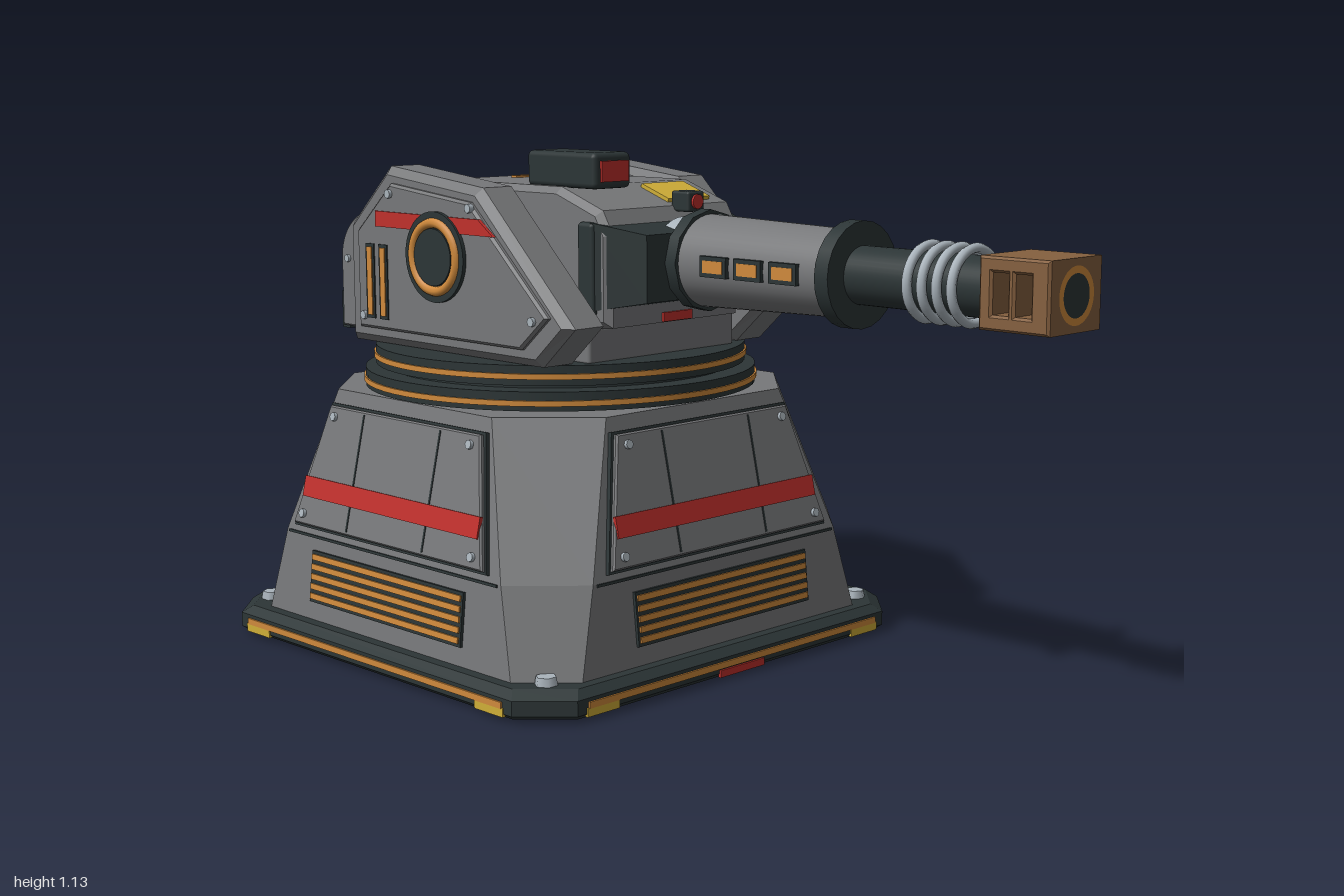
import * as THREE from 'three';
import { RoundedBoxGeometry } from 'three/addons/geometries/RoundedBoxGeometry.js';

const paint = (name, color) => Object.assign(new THREE.MeshStandardMaterial({ color }), { name });
const PI = Math.PI;

export function createModel() {
  const grey = paint('armour grey', 0x77787a), dark = paint('dark metal', 0x2c3536);
  const orange = paint('orange trim', 0xd08a3c), red = paint('red paint', 0xc0302c);
  const yellow = paint('yellow paint', 0xd0ae38), steel = paint('bright steel', 0xaab4bc);
  const copper = paint('copper', 0x85603f);

  const model = new THREE.Group();
  model.name = 'turret';
  const group = (name, parent = model) => {
    const g = new THREE.Group();
    g.name = name;
    parent.add(g);
    return g;
  };
  const add = (parent, name, geo, mat, x = 0, y = 0, z = 0) => {
    const m = new THREE.Mesh(geo, mat);
    m.name = name;
    m.position.set(x, y, z);
    parent.add(m);
    return m;
  };
  const box = (p, name, mat, w, h, d, x, y, z, r = 0) =>
    add(p, name, r ? new RoundedBoxGeometry(w, h, d, 2, r) : new THREE.BoxGeometry(w, h, d), mat, x, y, z);
  // Cylinder along a chosen axis
  const cyl = (p, name, mat, axis, r1, r2, len, x, y, z, n = 40) => {
    const g = new THREE.CylinderGeometry(r1, r2, len, n);
    if (axis === 'x') g.rotateZ(-PI / 2);
    if (axis === 'z') g.rotateX(PI / 2);
    return add(p, name, g, mat, x, y, z);
  };
  const ring = (p, name, mat, axis, r, tube, x, y, z) => {
    const g = new THREE.TorusGeometry(r, tube, 8, 48);
    if (axis === 'x') g.rotateY(PI / 2);
    if (axis === 'y') g.rotateX(PI / 2);
    return add(p, name, g, mat, x, y, z);
  };
  const outline = pts => new THREE.Shape(pts.map(p => new THREE.Vector2(...p)));
  const slab = (shape, depth, bevel = 0) => new THREE.ExtrudeGeometry(shape, {
    depth: depth - 2 * bevel, bevelEnabled: bevel > 0, bevelSize: bevel, bevelOffset: -bevel,
    bevelThickness: bevel, bevelSegments: 1, curveSegments: 20,
  }).translate(0, 0, bevel);
  // Side profile given as (z, y), extruded across x and centred
  const across = (shape, width, bevel = 0) => slab(shape, width, bevel).translate(0, 0, -width / 2).rotateY(-PI / 2);
  const octagon = (h, f) => [[-f, -h], [f, -h], [h, -f], [h, f], [f, h], [-f, h], [-h, f], [-h, -f]];

  // Stacked eight-sided sections [y, half width, half flat], closed top and bottom
  const loft = sections => {
    const v = [], rings = sections.map(([y, h, f]) => octagon(h, f).map(([x, z]) => [x, y, z]));
    const tri = (a, b, c) => v.push(...a, ...b, ...c);
    for (let s = 0; s < rings.length - 1; s++) for (let i = 0; i < 8; i++) {
      const j = (i + 1) % 8, a = rings[s], b = rings[s + 1];
      tri(a[i], b[i], b[j]);
      tri(a[i], b[j], a[j]);
    }
    const lo = rings[0], hi = rings[rings.length - 1];
    for (let i = 1; i < 7; i++) {
      tri(lo[0], lo[i], lo[i + 1]);
      tri(hi[0], hi[i + 1], hi[i]);
    }
    const g = new THREE.BufferGeometry();
    g.setAttribute('position', new THREE.Float32BufferAttribute(v, 3));
    g.computeVertexNormals();
    return g;
  };

  // Pedestal
  const base = group('pedestal');
  base.position.z = -0.42;
  add(base, 'footPlate', loft([[0, 0.565, 0.47], [0.012, 0.58, 0.485], [0.045, 0.58, 0.485], [0.062, 0.56, 0.465]]), dark);
  add(base, 'tower', loft([[0.06, 0.535, 0.43], [0.255, 0.515, 0.38], [0.585, 0.44, 0.27]]), grey);
  cyl(base, 'undersideRing', copper, 'y', 0.15, 0.15, 0.006, 0, 0.001, 0);
  cyl(base, 'undersideDisc', dark, 'y', 0.115, 0.115, 0.008, 0, 0.001, 0);
  cyl(base, 'undersideHub', steel, 'y', 0.055, 0.055, 0.01, 0, 0.001, 0);

  const panel = (g, x) => outline([[-0.335 - x, 0.02 - x], [0.335 + x, 0.02 - x], [0.265 + x, 0.3 + x], [-0.265 - x, 0.3 + x]]);
  for (let k = 0; k < 4; k++) {
    const side = group('pedestalSide', base);
    side.rotation.y = k * PI / 2;
    // Foot trim
    box(side, 'footTrim', orange, 0.91, 0.014, 0.008, 0, 0.03, 0.58);
    for (const s of [-1, 1]) box(side, 'footMarker', yellow, 0.09, 0.019, 0.008, s * 0.415, 0.015, 0.579);
    if (k === 0) box(side, 'frontMarker', red, 0.14, 0.016, 0.008, 0, 0.012, 0.581);
    cyl(side, 'cornerBolt', steel, 'y', 0.022, 0.026, 0.02, 0.49, 0.07, 0.49, 6);
    cyl(side, 'undersideBolt', dark, 'y', 0.02, 0.02, 0.012, 0.3, 0.002, 0.3, 6);
    // Lower face with louvred vent
    const lower = group('lowerFace', side);
    lower.position.set(0, 0.06, 0.535);
    lower.rotation.x = -0.102;
    box(lower, 'ventBack', dark, 0.54, 0.118, 0.01, 0, 0.103, 0.002);
    for (let i = 0; i < 5; i++) box(lower, 'ventBar', orange, 0.53, 0.013, 0.012, 0, 0.058 + i * 0.0225, 0.005);
    box(lower, 'faceSeam', dark, 0.74, 0.006, 0.006, 0, 0.193, 0.001);
    // Upper face with raised panel
    const upper = group('upperFace', side);
    upper.position.set(0, 0.255, 0.515);
    upper.rotation.x = -0.2235;
    add(upper, 'panelEdge', slab(panel(upper, 0.006), 0.01), dark);
    add(upper, 'armourPanel', slab(panel(upper, 0), 0.02, 0.004), grey);
    box(upper, 'panelStripe', red, 0.62, 0.047, 0.008, 0, 0.108, 0.02);
    for (const s of [-1, 1]) {
      box(upper, 'panelSeam', dark, 0.005, 0.265, 0.006, s * 0.135, 0.16, 0.0185);
      cyl(upper, 'panelBolt', steel, 'z', 0.01, 0.01, 0.014, s * 0.3, 0.045, 0.021, 8);
      cyl(upper, 'panelBolt', steel, 'z', 0.01, 0.01, 0.014, s * 0.24, 0.275, 0.021, 8);
    }
  }

  // Rotating bearing rings
  cyl(base, 'bearingSkirt', dark, 'y', 0.44, 0.4, 0.02, 0, 0.582, 0, 64);
  cyl(base, 'lowerBearing', dark, 'y', 0.452, 0.452, 0.042, 0, 0.61, 0, 64);
  cyl(base, 'lowerBearingTrim', orange, 'y', 0.456, 0.456, 0.012, 0, 0.606, 0, 64);
  cyl(base, 'bearingNeck', dark, 'y', 0.4, 0.4, 0.03, 0, 0.635, 0, 64);
  cyl(base, 'upperBearing', dark, 'y', 0.428, 0.428, 0.044, 0, 0.662, 0, 64);
  cyl(base, 'upperBearingTrim', orange, 'y', 0.432, 0.432, 0.012, 0, 0.66, 0, 64);

  // Gun housing
  const head = group('head');
  box(head, 'housingFoot', grey, 0.45, 0.08, 0.52, 0, 0.72, -0.34, 0.008);
  box(head, 'footMark', red, 0.09, 0.02, 0.008, 0, 0.772, -0.038);
  add(head, 'housing', across(outline([[-0.59, 0.7], [-0.04, 0.76], [-0.04, 0.96], [-0.07, 1.01], [-0.2, 1.055], [-0.59, 1.055]]), 0.41, 0.015), grey);
  const mantlet = new THREE.CylinderGeometry(Math.SQRT1_2 * 0.76, Math.SQRT1_2, 1, 4, 1).rotateY(PI / 4).rotateX(PI / 2).toNonIndexed();
  mantlet.scale(0.43, 0.19, 0.12).computeVertexNormals();
  add(head, 'mantlet', mantlet, dark, 0, 0.89, -0.025);
  box(head, 'mantletBack', dark, 0.436, 0.2, 0.05, 0, 0.885, -0.1, 0.01);
  for (let i = 0; i < 3; i++) box(head, 'roofVent', orange, 0.215, 0.008, 0.018, 0.06, 1.056, -0.525 + i * 0.07);
  const plate = box(head, 'roofPlate', yellow, 0.13, 0.009, 0.09, 0.087, 1.035, -0.13);
  plate.rotation.x = 0.333;
  box(head, 'scanner', dark, 0.11, 0.078, 0.22, -0.127, 1.091, -0.215, 0.012);
  box(head, 'scannerLens', red, 0.08, 0.045, 0.008, -0.125, 1.09, -0.104);
  box(head, 'sensor', dark, 0.05, 0.045, 0.055, 0.045, 1.02, -0.05, 0.006);
  cyl(head, 'sensorLens', red, 'z', 0.016, 0.016, 0.008, 0.045, 1.02, -0.021, 20);

  // Side armour, mirrored
  const cheek = [[0, 0.775], [-0.1, 0.685], [-0.755, 0.685], [-0.755, 0.955], [-0.61, 1.09], [-0.29, 1.055]];
  const inset = cheek.map(([z, y]) => [-0.4 + (z + 0.4) * 0.86, 0.885 + (y - 0.885) * 0.82]);
  for (const s of [-1, 1]) {
    const arm = group(s > 0 ? 'leftArmour' : 'rightArmour', head);
    add(arm, 'armourPlate', across(outline(cheek), 0.115, 0.018), grey, s * 0.296);
    add(arm, 'outerPlate', across(outline(inset), 0.02, 0.006), grey, s * 0.356);
    cyl(arm, 'trunnion', steel, 'x', 0.045, 0.045, 0.06, s * 0.225, 0.9, -0.3);
    add(arm, 'armourStripe', across(outline([[-0.22, 0.955], [-0.27, 0.99], [-0.63, 0.99], [-0.63, 0.955]]), 0.008), red, s * 0.366);
    cyl(arm, 'hub', dark, 'x', 0.1, 0.1, 0.03, s * 0.36, 0.9, -0.415);
    ring(arm, 'hubRing', orange, 'x', 0.075, 0.012, s * 0.372, 0.9, -0.415);
    cyl(arm, 'hubCap', dark, 'x', 0.063, 0.063, 0.036, s * 0.362, 0.9, -0.415);
    for (const z of [-0.607, -0.655]) {
      box(arm, 'slotFrame', dark, 0.008, 0.17, 0.03, s * 0.365, 0.83, z);
      box(arm, 'slot', orange, 0.009, 0.155, 0.018, s * 0.367, 0.83, z);
    }
    for (const [z, y] of [[-0.1, 0.785], [-0.3, 1.012], [-0.58, 1.03], [-0.68, 0.75]])
      cyl(arm, 'armourBolt', steel, 'x', 0.01, 0.01, 0.012, s * 0.368, y, z, 8);
  }

  // Barrel
  const gun = group('gun');
  const along = (name, mat, r1, r2, z1, z2, n) => cyl(gun, name, mat, 'z', r2, r1, z2 - z1, 0, 0.9, (z1 + z2) / 2, n);
  along('barrelSeat', steel, 0.09, 0.085, -0.02, 0.045);
  along('rearFlange', dark, 0.11, 0.11, 0.035, 0.065, 12);
  along('sleeve', grey, 0.1, 0.09, 0.065, 0.46);
  along('frontFlange', dark, 0.11, 0.11, 0.455, 0.49, 24);
  along('innerBarrel', dark, 0.06, 0.06, 0.48, 0.85);
  for (let i = 0; i < 4; i++) ring(gun, 'coolingRing', steel, 'z', 0.073, 0.01, 0, 0.9, 0.66 + i * 0.036);
  for (const s of [-1, 1]) for (let i = 0; i < 3; i++) {
    const z = 0.17 + i * 0.095, x = s * (0.098 - i * 0.0025);
    box(gun, 'sleeveSlotFrame', dark, 0.014, 0.044, 0.075, x, 0.9, z);
    box(gun, 'sleeveSlot', orange, 0.017, 0.026, 0.056, x, 0.9, z);
  }

  // Muzzle brake with open side slots
  const brake = outline([[0.84, 0.83], [1, 0.83], [1, 0.97], [0.84, 0.97]]);
  for (const z of [0.87, 0.922]) {
    const hole = new THREE.Path();
    [[z, 0.86], [z, 0.94], [z + 0.036, 0.94], [z + 0.036, 0.86]].forEach(([a, b], i) => i ? hole.lineTo(a, b) : hole.moveTo(a, b));
    hole.closePath();
    brake.holes.push(hole);
  }
  add(gun, 'muzzleBrake', across(brake, 0.17, 0.005), copper);
  add(gun, 'muzzleRing', new THREE.RingGeometry(0.042, 0.056, 40), orange, 0, 0.9, 1.001);
  add(gun, 'muzzleBore', new THREE.CircleGeometry(0.042, 40), dark, 0, 0.9, 1.001);

  // Rear ammunition drum
  const drum = group('ammoDrum');
  cyl(drum, 'drum', dark, 'x', 0.112, 0.112, 0.38, 0, 0.85, -0.865, 48);
  cyl(drum, 'drumBand', red, 'x', 0.118, 0.118, 0.095, 0, 0.85, -0.865, 48);
  box(drum, 'drumTray', grey, 0.4, 0.06, 0.23, 0, 0.715, -0.865, 0.006);
  const bracket = outline([[-0.755, 0.685], [-0.755, 0.85]]);
  bracket.absarc(-0.865, 0.85, 0.115, 0, PI, false);
  bracket.lineTo(-0.98, 0.685);
  for (const s of [-1, 1]) {
    add(drum, 'drumBracket', across(bracket, 0.024, 0.004), grey, s * 0.2);
    ring(drum, 'drumRim', dark, 'x', 0.115, 0.008, s * 0.185, 0.85, -0.865);
    for (let i = 0; i < 6; i++) {
      const a = i * PI / 3;
      cyl(drum, 'bracketBolt', steel, 'x', 0.009, 0.009, 0.01, s * 0.214, 0.85 + 0.085 * Math.sin(a), -0.865 + 0.085 * Math.cos(a), 8);
    }
    box(drum, 'hazardArm', dark, 0.02, 0.09, 0.03, s * 0.19, 0.722, -0.982);
  }
  // Hazard plate facing the rear
  const hazard = group('hazardPlate', drum);
  hazard.position.set(0, 0.72, -0.985);
  hazard.rotation.y = PI;
  box(hazard, 'hazardFrame', dark, 0.39, 0.08, 0.012, 0, 0, 0);
  box(hazard, 'hazardPaint', yellow, 0.35, 0.058, 0.009, 0, 0, 0.006);
  const stripe = slab(outline([[-0.032, -0.029], [-0.006, -0.029], [0.032, 0.029], [0.006, 0.029]]), 0.004);
  for (let i = 0; i < 6; i++) add(hazard, 'hazardStripe', stripe, dark, -0.14 + i * 0.056, 0, 0.009);

  return model;
}
